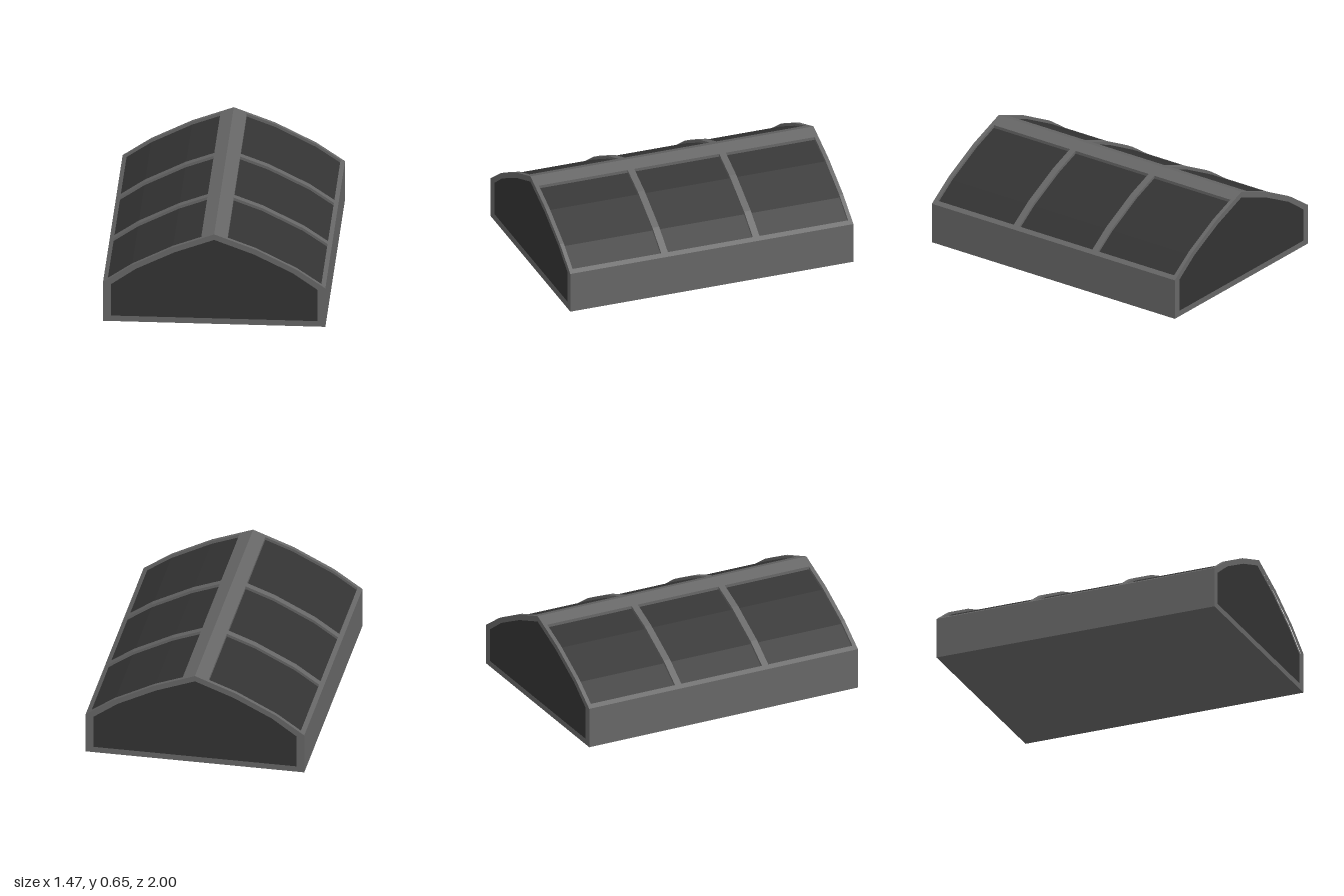
import * as THREE from 'three';

const HALF_W = 0.735, HALF_L = 1, RECESS = 0.02;
const ROOF = [[0, 0.65], [0.275, 0.547], [0.545, 0.41], [HALF_W, 0.28]];

// Height of the faceted roof at a given x
function roofY(x) {
  const a = Math.abs(x);
  let i = 0;
  while (i < ROOF.length - 2 && a > ROOF[i + 1][0]) i++;
  const [x0, y0] = ROOF[i], [x1, y1] = ROOF[i + 1];
  return y0 + (y1 - y0) * (a - x0) / (x1 - x0);
}

// Roof points from x0 to x1, including every fold between them
function roofLine(x0, x1, drop = 0) {
  const folds = ROOF.flatMap(([x]) => (x ? [-x, x] : [0])).filter(x => x > x0 && x < x1);
  return [x0, ...folds.sort((a, b) => a - b), x1].map(x => new THREE.Vector2(x, roofY(x) - drop));
}

export function createModel() {
  const group = new THREE.Group();
  const frameMat = new THREE.MeshStandardMaterial({ color: 0x666666, flatShading: true });
  const panelMat = new THREE.MeshStandardMaterial({ color: 0x333333, flatShading: true });

  function extrude(name, shape, z0, z1, mat) {
    const geo = new THREE.ExtrudeGeometry(shape, { depth: z1 - z0, bevelEnabled: false });
    geo.translate(0, 0, z0);
    const mesh = new THREE.Mesh(geo, mat);
    mesh.name = name;
    group.add(mesh);
  }

  // Strip of roof frame with the recess thickness
  function roofStrip(name, x0, x1, z0, z1) {
    const pts = [...roofLine(x0, x1), ...roofLine(x0, x1, RECESS).reverse()];
    extrude(name, new THREE.Shape(pts), z0, z1, frameMat);
  }

  function box(name, w, h, d, x, y) {
    const mesh = new THREE.Mesh(new THREE.BoxGeometry(w, h, d), frameMat);
    mesh.name = name;
    mesh.position.set(x, y, 0);
    group.add(mesh);
  }

  // Dark core that shows through every opening as a recessed panel
  const inX = HALF_W - RECESS, inZ = HALF_L - RECESS;
  const core = [new THREE.Vector2(-inX, RECESS), ...roofLine(-inX, inX, RECESS), new THREE.Vector2(inX, RECESS)];
  extrude('panels', new THREE.Shape(core), -inZ, inZ, panelMat);

  // Floor
  box('floor', 2 * HALF_W, RECESS, 2 * inZ, 0, RECESS / 2);

  // End frames around the gable panels
  const end = new THREE.Shape([
    new THREE.Vector2(-HALF_W, 0), ...roofLine(-HALF_W, HALF_W), new THREE.Vector2(HALF_W, 0)]);
  const opening = [[0, 0.61], [0.262, 0.512], [0.518, 0.384], [0.683, 0.267], [0.683, 0.04]];
  const left = opening.slice(1).reverse().map(([x, y]) => new THREE.Vector2(-x, y));
  end.holes.push(new THREE.Path([...left, ...opening.map(([x, y]) => new THREE.Vector2(x, y))]));
  extrude('frontFrame', end, inZ, HALF_L, frameMat);
  extrude('backFrame', end, -HALF_L, -inZ, frameMat);

  // Ridge rail
  const railX = 0.087, eaveX = 0.707;
  roofStrip('ridgeRail', -railX, railX, -inZ, inZ);

  // Side walls, eave rails and roof ribs
  for (const side of [-1, 1]) {
    const label = side > 0 ? 'left' : 'right';
    const span = (a, b) => (side > 0 ? [a, b] : [-b, -a]);
    box(label + 'Wall', RECESS, 0.28, 2 * inZ, side * (HALF_W - RECESS / 2), 0.14);
    roofStrip(label + 'EaveRail', ...span(eaveX, HALF_W), -inZ, inZ);
    for (const [z0, z1] of [[-inZ, -0.973], [-0.347, -0.3], [0.3, 0.347], [0.973, inZ]])
      roofStrip(label + 'RoofRib', ...span(railX, eaveX), z0, z1);
  }
  return group;
}
